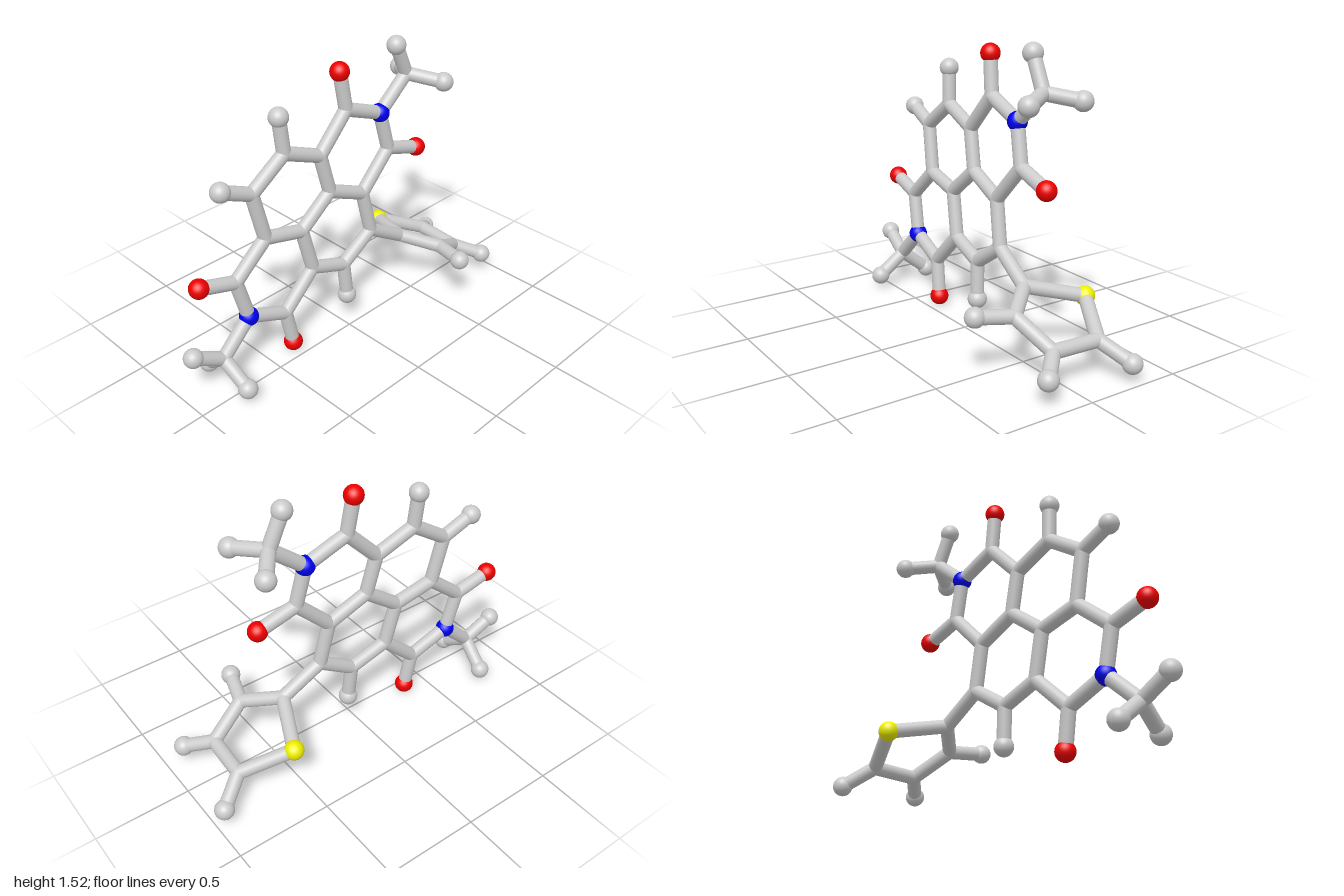
import * as THREE from 'three';

const BALL = 0.05, STICK = 0.036;
// plane of the fused ring system, slightly tilted
const planeZ = (x, y) => -0.092 + 0.046 * (x + 0.15) - 0.05 * (y - 0.74);

// Ring carbons and their joints: name -> [x, y, z]; z is taken from the plane when left out
const carbons = {
  topCarbonyl: [0.08, 1.23], rightCarbonyl: [0.36, 0.925],
  leftCarbonyl: [-0.665, 0.565], lowCarbonyl: [-0.385, 0.25],
  a: [-0.10, 1.04], b: [-0.05, 0.825], c: [0.17, 0.73], d: [0.22, 0.49],
  e: [0.02, 0.36], f: [-0.19, 0.435], g: [-0.245, 0.675], h: [-0.47, 0.73],
  i: [-0.525, 0.99], j: [-0.32, 1.13],
  topMethyl: [0.50, 1.30, -0.09], lowMethyl: [-0.785, 0.175, -0.09],
  // five-sided ring, turned out of the plane
  p: [0.44, 0.36, -0.045], q: [0.59, 0.295, 0.125], r: [0.795, 0.18, 0.06], s: [0.81, 0.18, -0.195],
};
const nitrogens = { topN: [0.31, 1.14], lowN: [-0.61, 0.34] };
const sulfurs = { sulfur: [0.565, 0.29, -0.325] };

// End balls: [joint they hang on, position]
const oxygens = [
  ['topCarbonyl', [0.05, 1.435]], ['rightCarbonyl', [0.57, 0.86]],
  ['leftCarbonyl', [-0.87, 0.625]], ['lowCarbonyl', [-0.35, 0.05]],
];
const hydrogens = [
  ['e', [0.035, 0.16]], ['i', [-0.695, 1.065]], ['j', [-0.335, 1.32]],
  ['topMethyl', [0.42, 1.475, -0.09]], ['topMethyl', [0.605, 1.27, 0.075]], ['topMethyl', [0.61, 1.265, -0.235]],
  ['lowMethyl', [-0.95, 0.265, -0.105]], ['lowMethyl', [-0.77, 0.07, 0.07]], ['lowMethyl', [-0.77, 0.055, -0.24]],
  ['q', [0.535, 0.315, 0.31]], ['r', [0.91, 0.12, 0.18]], ['s', [0.95, 0.09, -0.285]],
];

// Chains of bonded joints
const chains = [
  'a topCarbonyl topN rightCarbonyl c b a',
  'a j i h g b',
  'c d e f g',
  'f lowCarbonyl lowN leftCarbonyl h',
  'topN topMethyl', 'lowN lowMethyl',
  'd p q r s sulfur p',
];

export function createModel() {
  const model = new THREE.Group();
  const material = (color) => new THREE.MeshStandardMaterial({ color });
  const grey = material(0xcccccc), red = material(0xee0000);
  const blue = material(0x0000ee), yellow = material(0xeeee00);
  const ballGeometry = new THREE.SphereGeometry(BALL, 32, 20);
  const jointGeometry = new THREE.SphereGeometry(STICK, 24, 16);
  const toVector = ([x, y, z = planeZ(x, y)]) => new THREE.Vector3(x, y, z);

  const addBall = (name, at, mat, geometry = ballGeometry) => {
    const ball = new THREE.Mesh(geometry, mat);
    ball.name = name;
    ball.position.copy(at);
    model.add(ball);
  };
  const addStick = (from, to) => {
    const along = to.clone().sub(from);
    const geometry = new THREE.CylinderGeometry(STICK, STICK, along.length(), 24, 1, true);
    const stick = new THREE.Mesh(geometry, grey);
    stick.name = 'bond';
    stick.position.copy(from).addScaledVector(along, 0.5);
    stick.quaternion.setFromUnitVectors(new THREE.Vector3(0, 1, 0), along.normalize());
    model.add(stick);
  };

  // Joints
  const joints = {};
  const addJoints = (table, name, mat, geometry) => {
    for (const [key, at] of Object.entries(table)) {
      joints[key] = toVector(at);
      addBall(name, joints[key], mat, geometry);
    }
  };
  addJoints(carbons, 'carbonJoint', grey, jointGeometry);
  addJoints(nitrogens, 'nitrogenBall', blue);
  addJoints(sulfurs, 'sulfurBall', yellow);

  // Bonds of the rings and side arms
  for (const chain of chains) {
    const keys = chain.split(' ');
    for (let n = 1; n < keys.length; n++) addStick(joints[keys[n - 1]], joints[keys[n]]);
  }

  // End balls, each on its own stick
  const addEnds = (list, name, mat) => {
    for (const [key, at] of list) {
      const end = toVector(at);
      addStick(joints[key], end);
      addBall(name, end, mat);
    }
  };
  addEnds(oxygens, 'oxygenBall', red);
  addEnds(hydrogens, 'hydrogenBall', grey);

  return model;
}
